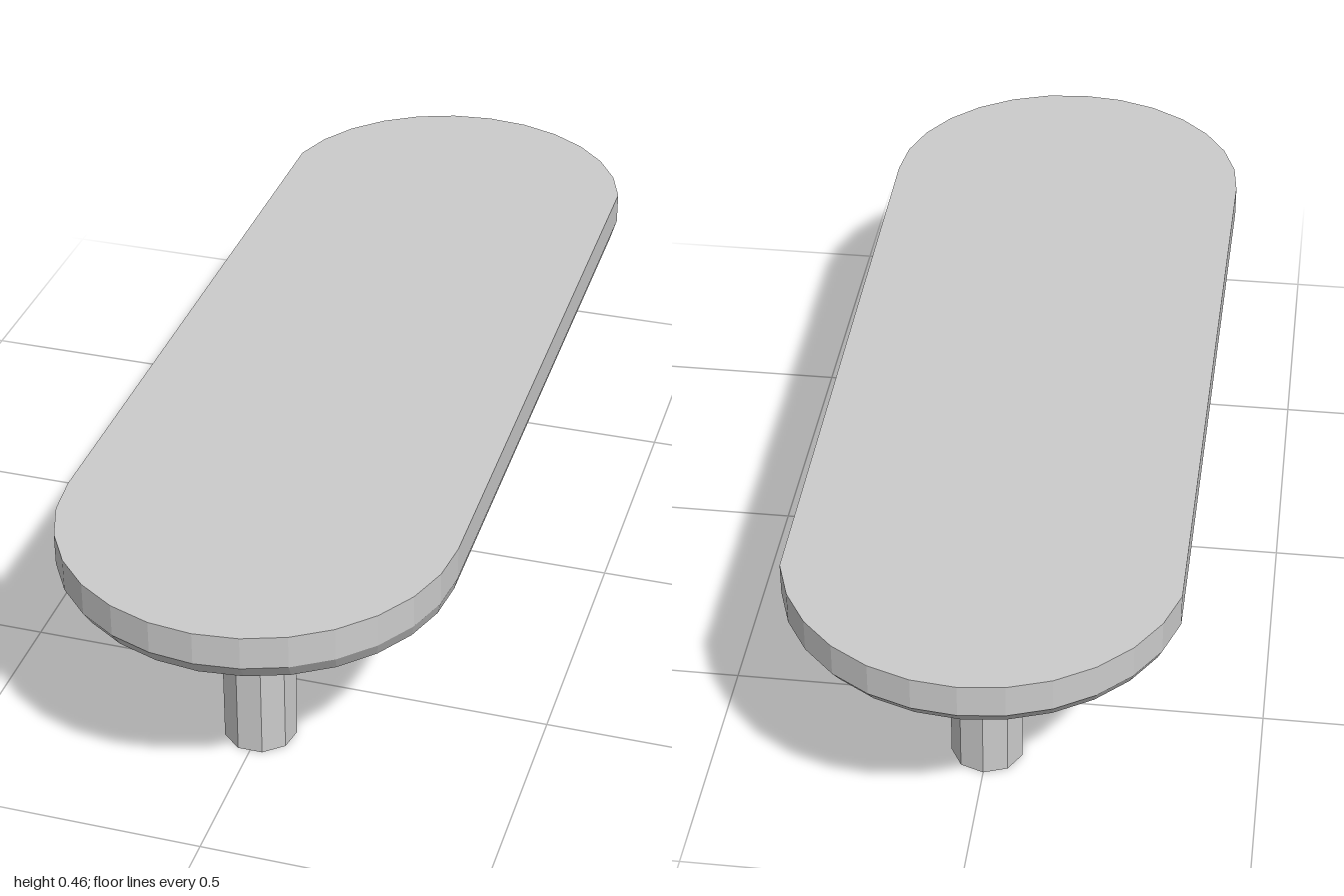
import * as THREE from 'three';

const material = new THREE.MeshStandardMaterial({ color: 0xcccccc, flatShading: true });

// Stadium outline running front arc, then the slightly shallower back arc
function outline() {
  const r = 0.36, centre = 0.64, steps = 14, points = [];
  for (let i = 0; i <= steps; i++) {
    const a = (i / steps) * Math.PI;
    points.push([r * Math.cos(a), centre + r * Math.sin(a)]);
  }
  for (let i = 1; i < steps; i++) {
    const a = Math.PI + (i / steps) * Math.PI;
    points.push([r * Math.cos(a), -centre + r * Math.sin(a)]);
  }
  return points;
}

// Slab lofted through scaled copies of the outline, closed with fans
function slabGeometry() {
  // height, scale, z shift
  const rings = [[0.46, 1, 0], [0.398, 1, 0], [0.364, 0.973, 0.002], [0.305, 0.848, 0.008]];
  const base = outline(), n = base.length;
  const positions = [], index = [];
  for (const [y, s, dz] of rings) {
    for (const [x, z] of base) positions.push(x * s, y, z * s + dz);
  }
  for (let k = 0; k < rings.length - 1; k++) {
    for (let i = 0; i < n; i++) {
      const a = k * n + i, b = k * n + (i + 1) % n;
      index.push(a, b, a + n, b, b + n, a + n);
    }
  }
  const last = (rings.length - 1) * n;
  for (let i = 1; i < n - 1; i++) {
    index.push(0, i + 1, i); // top
    index.push(last, last + i, last + i + 1); // underside
  }
  const geometry = new THREE.BufferGeometry();
  geometry.setAttribute('position', new THREE.Float32BufferAttribute(positions, 3));
  geometry.setIndex(index);
  const flat = geometry.toNonIndexed();
  flat.computeVertexNormals();
  return flat;
}

export function createModel() {
  const model = new THREE.Group();
  model.name = 'bench';

  const slab = new THREE.Mesh(slabGeometry(), material);
  slab.name = 'benchTop';
  model.add(slab);

  // Nine-sided legs with a flat face to the front
  const height = 0.31;
  const legGeometry = new THREE.CylinderGeometry(0.067, 0.067, height, 9, 1, false, Math.PI / 9);
  for (const [name, z] of [['frontLeg', 0.662], ['backLeg', -0.642]]) {
    const leg = new THREE.Mesh(legGeometry, material);
    leg.name = name;
    leg.position.set(0, height / 2, z);
    model.add(leg);
  }
  return model;
}
